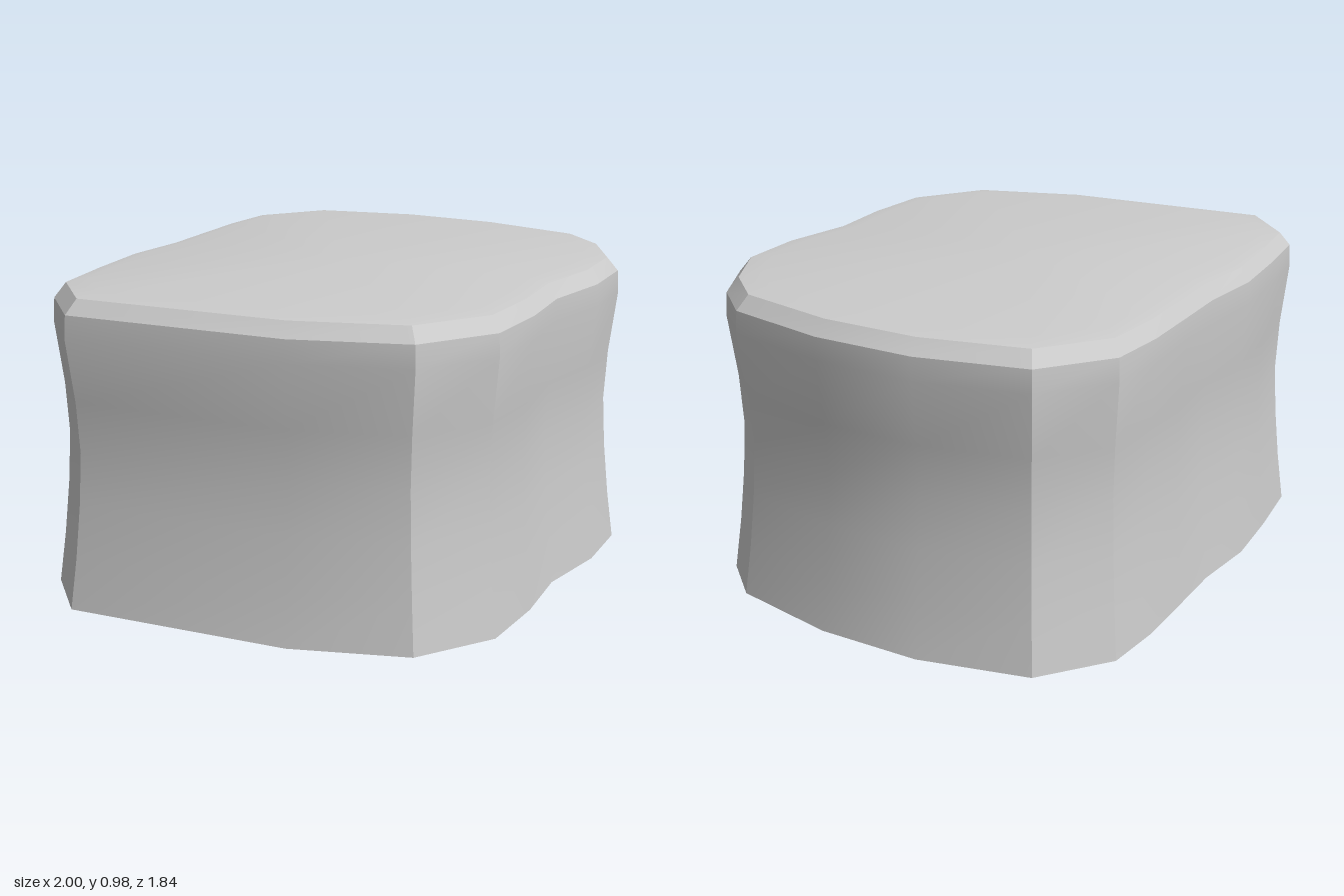
import * as THREE from 'three';
import { toCreasedNormals } from 'three/addons/utils/BufferGeometryUtils.js';

// Ground outline [x, z]: clockwise seen from above, starting at the right-hand tip
const OUTLINE = [
  [-1, -0.02], [-0.91, -0.26], [-0.71, -0.4], [-0.49, -0.54], [-0.27, -0.63],
  [-0.09, -0.73], [0.11, -0.84], [0.3, -0.92], [0.56, -0.87], [0.78, -0.59],
  [0.92, -0.28], [1, 0.08], [0.94, 0.28], [0.8, 0.48], [0.59, 0.6],
  [0.34, 0.68], [0.13, 0.81], [-0.1, 0.915], [-0.38, 0.88], [-0.64, 0.61],
];

// Side profile [height, outline scale]: waisted wall, then a bevelled rim
const PROFILE = [
  [0, 1], [0.16, 0.976], [0.33, 0.957], [0.49, 0.947], [0.65, 0.957],
  [0.85, 0.985], [0.92, 0.98], [0.965, 0.94], [0.975, 0.865],
];

// Skin the scaled outlines into one closed body with flat caps
function buildBody() {
  const n = OUTLINE.length;
  const positions = [];
  const index = [];
  for (const [y, s] of PROFILE) {
    for (const [x, z] of OUTLINE) positions.push(x * s, y, z * s);
  }
  for (let r = 0; r < PROFILE.length - 1; r++) {
    for (let i = 0; i < n; i++) {
      const a = r * n + i;
      const b = r * n + (i + 1) % n;
      index.push(b, a, a + n, b, a + n, b + n);
    }
  }
  const topRing = (PROFILE.length - 1) * n;
  const bottomCentre = positions.length / 3;
  const topCentre = bottomCentre + 1;
  positions.push(0, 0, 0, 0, PROFILE[PROFILE.length - 1][0], 0);
  for (let i = 0; i < n; i++) {
    const j = (i + 1) % n;
    index.push(bottomCentre, i, j);
    index.push(topCentre, topRing + j, topRing + i);
  }
  const geometry = new THREE.BufferGeometry();
  geometry.setAttribute('position', new THREE.Float32BufferAttribute(positions, 3));
  geometry.setIndex(index);
  return toCreasedNormals(geometry, THREE.MathUtils.degToRad(22));
}

export function createModel() {
  const group = new THREE.Group();
  group.name = 'stoneBlock';
  const stone = new THREE.Mesh(
    buildBody(),
    new THREE.MeshStandardMaterial({ color: 0xcccccc }),
  );
  stone.name = 'stoneBody';
  group.add(stone);
  return group;
}
